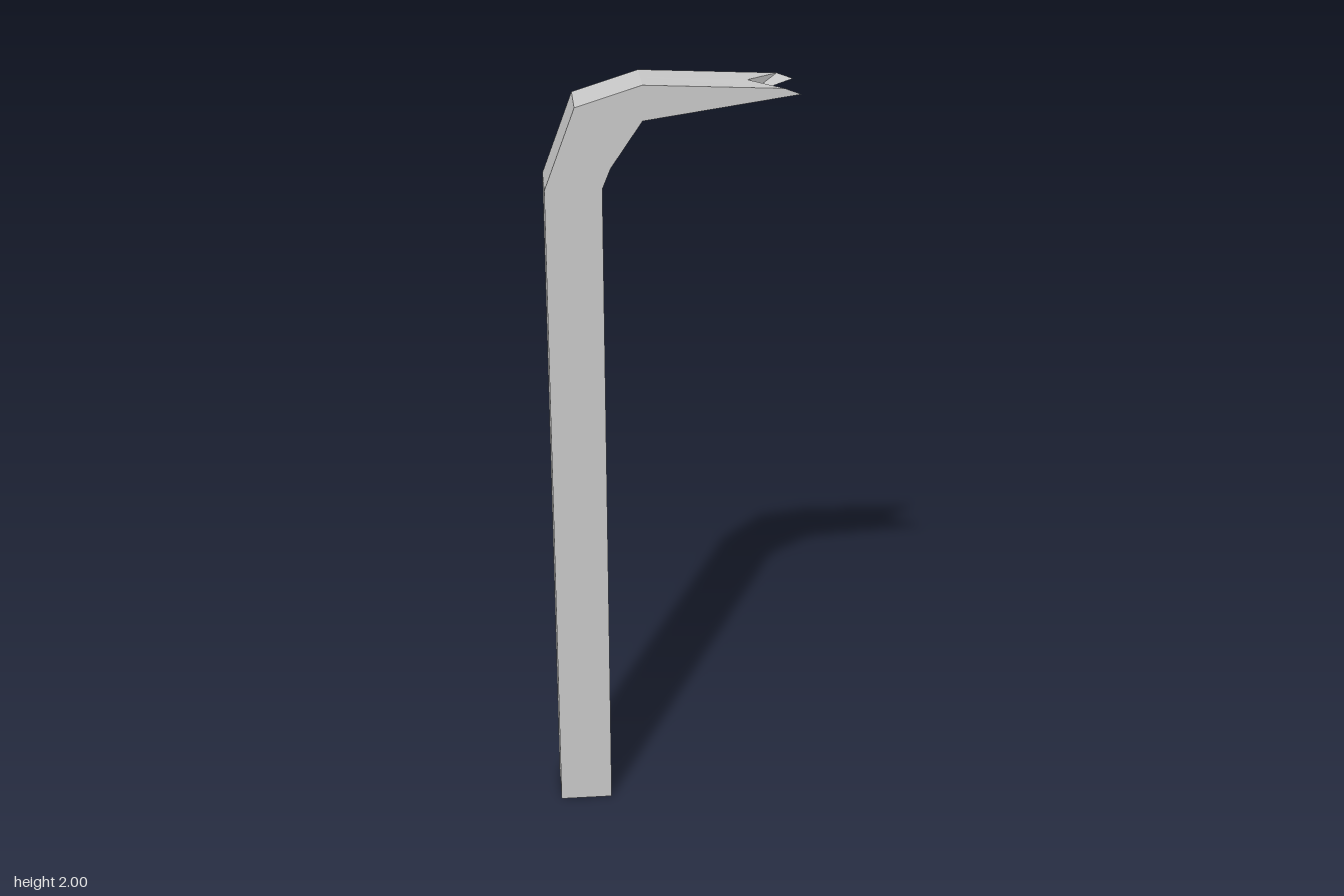
import * as THREE from 'three';

const HALF = 0.07; // half the bar's thickness in z

// One cross-section: outer edge then inner edge, each as [x, y];
// the middle points may differ from the sides to cut the claw notch.
function section(outer, inner, outerMid = outer, innerMid = inner) {
  return [
    [...outer, -HALF], [...outerMid, 0], [...outer, HALF],
    [...inner, HALF], [...innerMid, 0], [...inner, -HALF],
  ];
}

// Skin a row of cross-sections and close both ends.
function loft(sections) {
  const n = sections[0].length;
  const index = [];
  const quad = (a, b, c, d) => index.push(a, b, c, a, c, d);
  for (let i = 0; i < sections.length - 1; i++) {
    for (let j = 0; j < n; j++) {
      const k = (j + 1) % n;
      quad(i * n + j, i * n + k, (i + 1) * n + k, (i + 1) * n + j);
    }
  }
  const e = (sections.length - 1) * n;
  quad(5, 4, 1, 0);
  quad(4, 3, 2, 1);
  quad(e, e + 1, e + 4, e + 5);
  quad(e + 1, e + 2, e + 3, e + 4);

  const indexed = new THREE.BufferGeometry();
  indexed.setAttribute('position', new THREE.Float32BufferAttribute(sections.flat(2), 3));
  indexed.setIndex(index);
  const geometry = indexed.toNonIndexed();
  geometry.computeVertexNormals();
  return geometry;
}

export function createModel() {
  const group = new THREE.Group();
  group.name = 'pryBar';

  const bar = new THREE.Mesh(
    loft([
      section([-0.305, 0], [-0.167, 0]), // foot of the shaft
      section([-0.305, 1.75], [-0.167, 1.75]), // start of the bend
      section([-0.23, 1.95], [-0.147, 1.8]), // shoulder
      section([-0.07, 2.0], [-0.07, 1.914]), // root of the claw
      section([0.265, 1.984], [0.305, 1.969], [0.185, 1.988], [0.188, 1.952]), // forked tip
    ]),
    new THREE.MeshStandardMaterial({ color: 0xcccccc, flatShading: true })
  );
  bar.name = 'shaftAndClaw';
  group.add(bar);

  return group;
}
